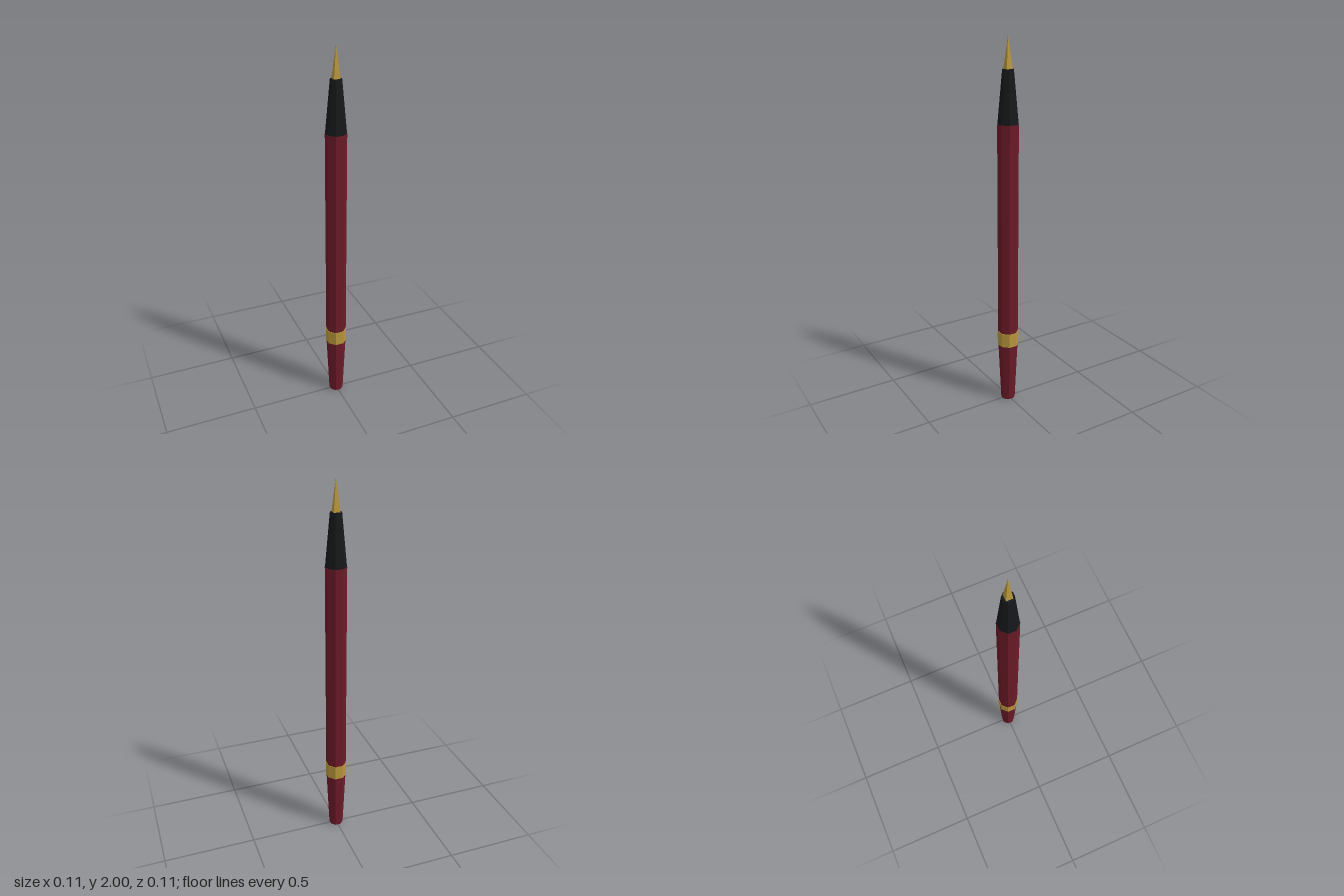
import * as THREE from 'three';

const RED = new THREE.MeshStandardMaterial({ color: 0x6b1a28, flatShading: true });
const GOLD = new THREE.MeshStandardMaterial({ color: 0xb8963c, flatShading: true });
const BLACK = new THREE.MeshStandardMaterial({ color: 0x17181b, flatShading: true });

// Tapered prism standing between two heights, flat sides facing the axes.
// Sizes are half-widths across the flats.
function prism(name, material, bottom, top, y0, y1, sides = 8) {
  const k = 1 / Math.cos(Math.PI / sides);
  const geometry = new THREE.CylinderGeometry(top * k, bottom * k, y1 - y0, sides, 1, false, Math.PI / sides);
  const mesh = new THREE.Mesh(geometry, material);
  mesh.name = name;
  mesh.position.y = (y0 + y1) / 2;
  return mesh;
}

export function createModel() {
  const pen = new THREE.Group();
  pen.name = 'pen';
  pen.add(
    prism('tailCap', RED, 0.036, 0.05, 0, 0.34),
    prism('band', GOLD, 0.0535, 0.0535, 0.34, 0.42),
    prism('barrel', RED, 0.051, 0.051, 0.42, 1.57),
    prism('grip', BLACK, 0.05, 0.027, 1.57, 1.84),
    // Four-sided writing point
    prism('tip', GOLD, 0.017, 0, 1.84, 2, 4)
  );
  return pen;
}
